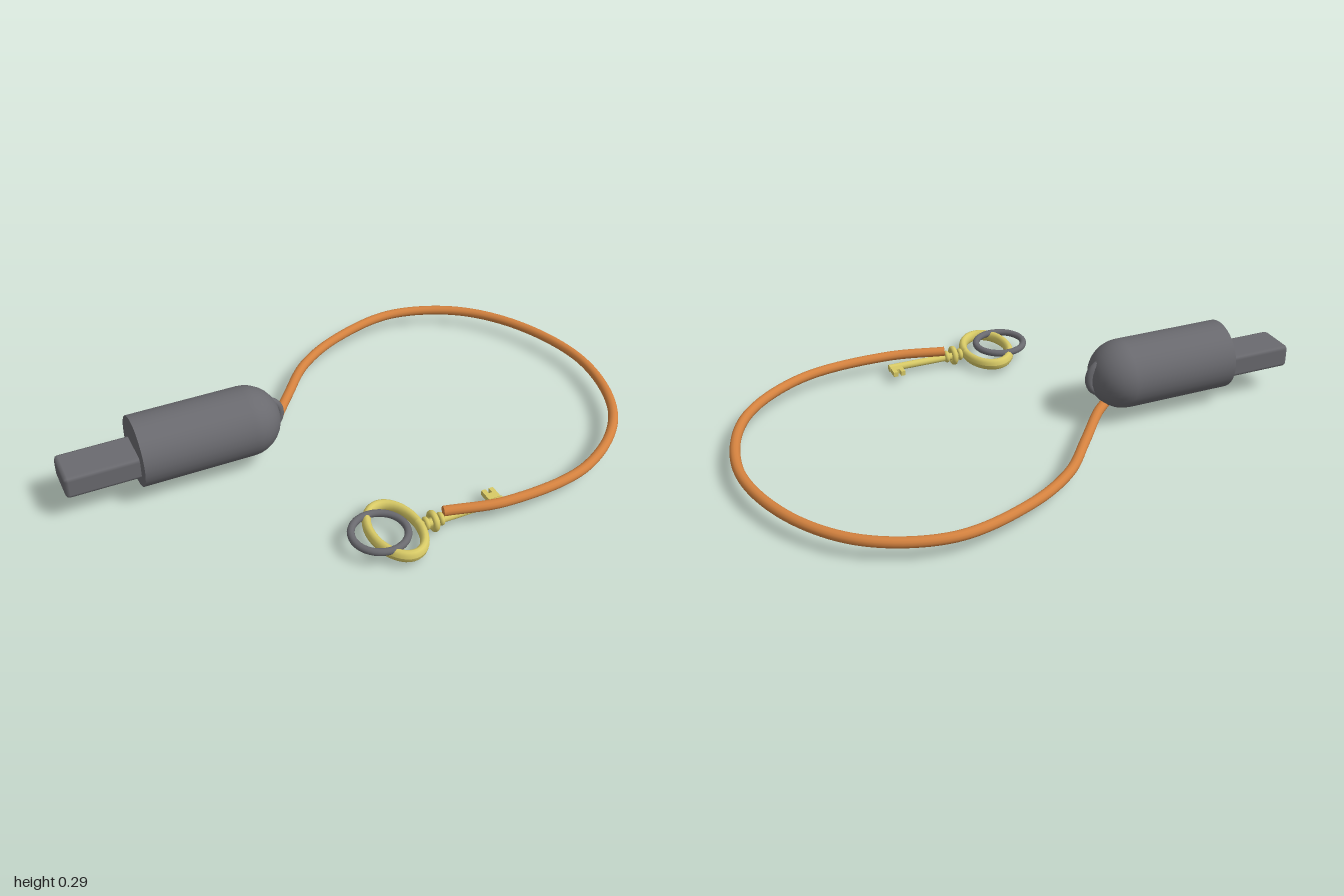
import * as THREE from 'three';
import { RoundedBoxGeometry } from 'three/addons/geometries/RoundedBoxGeometry.js';

export function createModel() {
  const model = new THREE.Group();
  const material = (name, color) => {
    const m = new THREE.MeshStandardMaterial({ color });
    m.name = name;
    return m;
  };
  const grey = material('grey', 0x6a6a6f);
  const orange = material('orange', 0xd4823f);
  const brass = material('brass', 0xd8ca66);

  const add = (name, geometry, mat, x = 0, y = 0, z = 0, parent = model) => {
    const mesh = new THREE.Mesh(geometry, mat);
    mesh.name = name;
    mesh.position.set(x, y, z);
    parent.add(mesh);
    return mesh;
  };

  // Casing: flat-backed cylinder with a domed end, lying along x
  const r = 0.122, bodyY = 0.166, bodyZ = -0.086;
  const casing = new THREE.CylinderGeometry(r, r, 0.388, 32, 1).rotateZ(-Math.PI / 2);
  add('casing', casing, grey, -0.556, bodyY, bodyZ);
  const dome = new THREE.SphereGeometry(r, 32, 8, 0, Math.PI * 2, 0, Math.PI / 2).rotateZ(-Math.PI / 2);
  add('casingDome', dome, grey, -0.362, bodyY, bodyZ);

  // Bevelled plug and the loop sunk into the dome
  add('plug', new RoundedBoxGeometry(0.28, 0.082, 0.145, 1, 0.014), grey, -0.86, 0.139, -0.091);
  add('domeLoop', new THREE.TorusGeometry(0.06, 0.0145, 12, 32), grey, -0.294, bodyY, bodyZ);

  // Cord: a flat curve in the ground plane, with closed ends
  const cordY = 0.064, cordR = 0.0175;
  const path = new THREE.CatmullRomCurve3([
    [-0.3, -0.088], [-0.245, -0.14], [-0.12, -0.295], [0.013, -0.45], [0.2, -0.565], [0.467, -0.63],
    [0.72, -0.54], [0.894, -0.33], [0.975, -0.016], [0.88, 0.31], [0.63, 0.51], [0.3, 0.55], [0.085, 0.505],
  ].map(([x, z]) => new THREE.Vector3(x, cordY, z)));
  add('cord', new THREE.TubeGeometry(path, 120, cordR, 12), orange);
  for (const t of [0, 1]) {
    const cap = add('cordEnd', new THREE.CircleGeometry(cordR, 12), orange);
    const p = path.getPointAt(t);
    cap.position.copy(p);
    cap.lookAt(p.clone().addScaledVector(path.getTangentAt(t), t ? 1 : -1));
  }

  // Key
  const key = new THREE.Group();
  key.name = 'key';
  key.position.set(0, 0.038, 0.508);
  model.add(key);

  // Oval bow, its tube taller than wide
  const bow = new THREE.TorusGeometry(0.1, 0.0155, 12, 40).rotateX(Math.PI / 2);
  const pos = bow.attributes.position;
  for (let i = 0; i < pos.count; i++) {
    const x = pos.getX(i), z = pos.getZ(i), d = Math.hypot(x, z);
    const off = d - 0.1;
    pos.setXYZ(i, (x / d) * (0.082 + off), pos.getY(i) * 1.4, (z / d) * (0.128 + off));
  }
  bow.computeVertexNormals();
  add('bow', bow, brass, -0.083, 0.004, -0.01, key).rotation.z = -0.05;

  // Collars and shaft
  const along = (r0, len) => new THREE.CylinderGeometry(r0, r0, len, 20).rotateZ(Math.PI / 2);
  add('shaft', along(0.0135, 0.31), brass, 0.15, -0.003, 0, key);
  for (const [x, radius, tube] of [[0.048, 0.026, 0.011], [0.022, 0.014, 0.009], [0.075, 0.014, 0.009]]) {
    add('collar', new THREE.TorusGeometry(radius, tube, 10, 24).rotateY(Math.PI / 2), brass, x, 0, 0, key);
  }

  // Notched bit
  add('bit', new THREE.BoxGeometry(0.044, 0.018, 0.03), brass, 0.282, -0.003, -0.022, key);
  for (const x of [0.268, 0.296]) {
    add('tooth', new THREE.BoxGeometry(0.016, 0.018, 0.026), brass, x, -0.003, -0.046, key);
  }

  // Split ring lying over the bow
  const ring = new THREE.TorusGeometry(0.091, 0.0125, 12, 40).rotateX(Math.PI / 2);
  add('keyRing', ring, grey, -0.141, 0.058, 0.502);

  return model;
}
